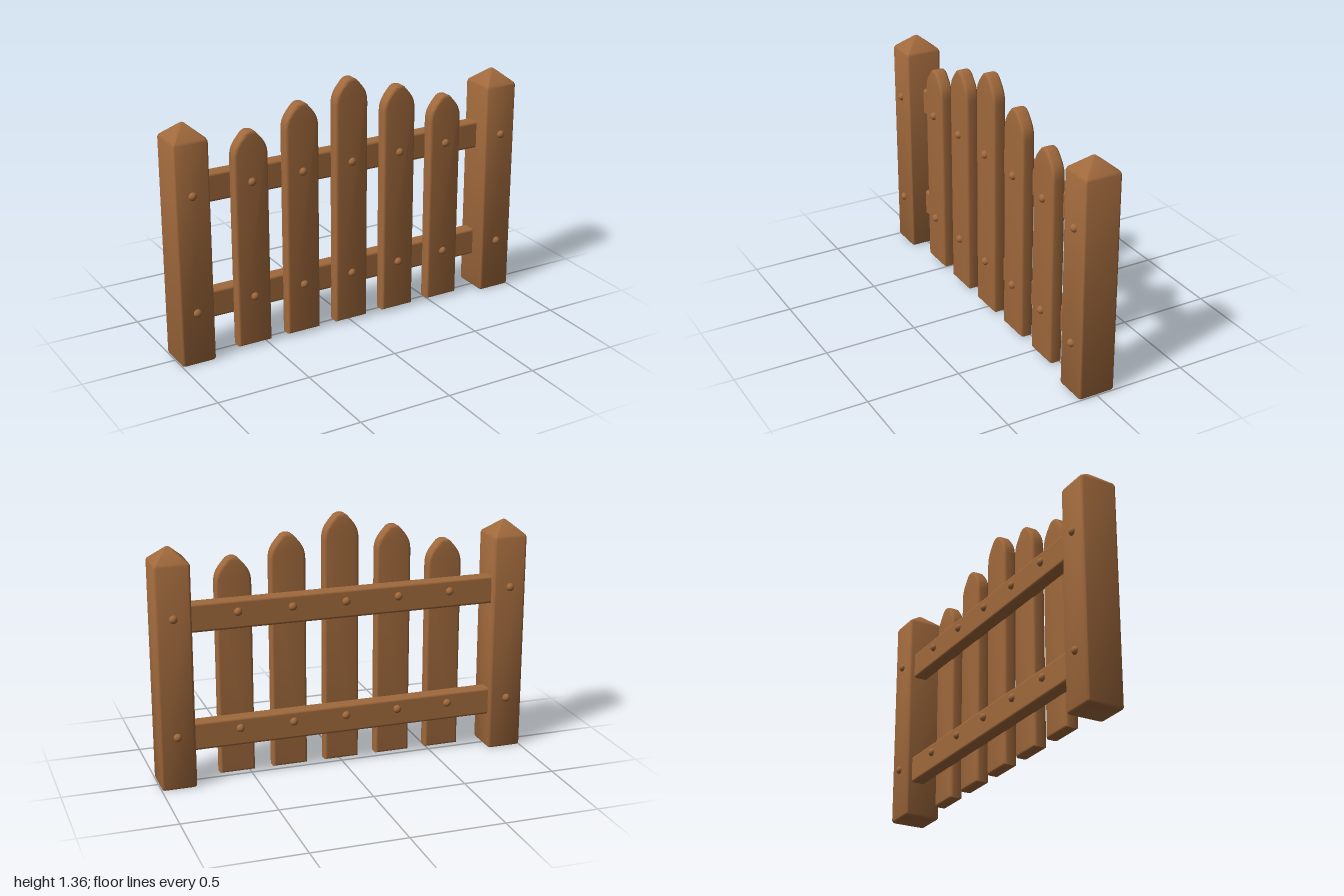
import * as THREE from 'three';
import { toCreasedNormals } from 'three/addons/utils/BufferGeometryUtils.js';
import { RoundedBoxGeometry } from 'three/addons/geometries/RoundedBoxGeometry.js';
import { ConvexGeometry } from 'three/addons/geometries/ConvexGeometry.js';

const RAIL_HEIGHTS = [0.265, 0.895];
const NAIL_HEIGHTS = [0.285, 0.91];

// Square post with softened edges and a pyramid cap
function postGeometry() {
  const points = [];
  const ring = (y, w, d, r) => {
    for (const sx of [-1, 1]) for (const sz of [-1, 1]) for (let i = 0; i <= 3; i++) {
      const a = (i / 3) * Math.PI / 2;
      points.push(new THREE.Vector3(sx * (w - r + r * Math.cos(a)), y, sz * (d - r + r * Math.sin(a))));
    }
  };
  ring(0, 0.083, 0.09, 0.01);
  ring(0.004, 0.089, 0.096, 0.012);
  ring(0.012, 0.0925, 0.1, 0.014);
  ring(1.175, 0.0925, 0.1, 0.014);
  ring(1.188, 0.087, 0.094, 0.012);
  ring(1.256, 0.01, 0.01, 0.005);
  points.push(new THREE.Vector3(0, 1.26, 0));
  return toCreasedNormals(new ConvexGeometry(points), 0.6);
}

// Picket board with a pointed, curved top and rounded edges
function picketGeometry(top) {
  const b = 0.014, w = 0.094 - b, foot = 0.015 + b, tip = top - b;
  const s = new THREE.Shape();
  s.moveTo(-w, foot);
  s.lineTo(w, foot);
  s.lineTo(w, top - 0.14);
  s.bezierCurveTo(w, top - 0.085, w - 0.02, top - 0.065, 0.022, tip - 0.008);
  s.quadraticCurveTo(0, tip + 0.008, -0.022, tip - 0.008);
  s.bezierCurveTo(-w + 0.02, top - 0.065, -w, top - 0.085, -w, top - 0.14);
  s.closePath();
  const g = new THREE.ExtrudeGeometry(s, {
    depth: 0.07 - 2 * b, bevelEnabled: true, bevelSize: b, bevelThickness: b,
    bevelSegments: 3, curveSegments: 8
  });
  g.translate(0, 0, b - 0.002);
  return toCreasedNormals(g, 0.65);
}

export function createModel() {
  const fence = new THREE.Group();
  fence.name = 'picketFence';
  const wood = new THREE.MeshStandardMaterial({ color: 0xa0693c });
  wood.name = 'brown wood';

  const add = (geometry, name, x = 0, y = 0, z = 0) => {
    const mesh = new THREE.Mesh(geometry, wood);
    mesh.name = name;
    mesh.position.set(x, y, z);
    fence.add(mesh);
    return mesh;
  };

  // Domed pegs on the front and back of each upright
  const pegGeometry = new THREE.SphereGeometry(0.022, 14, 10);
  const addPegs = (x, front, back) => {
    for (const y of NAIL_HEIGHTS) {
      add(pegGeometry, 'frontPeg', x, y, front);
      add(pegGeometry, 'backPeg', x, y, back);
    }
  };

  // End posts
  const post = postGeometry();
  for (const side of [-1, 1]) {
    add(post, side > 0 ? 'leftPost' : 'rightPost', side * 0.9075);
    addPegs(side * 0.91, 0.098, -0.098);
  }

  // Pickets, tallest in the middle
  for (let i = -2; i <= 2; i++) {
    const x = i * 0.287;
    add(picketGeometry([1.355, 1.272, 1.175][Math.abs(i)]), 'picket', x);
    addPegs(x, 0.066, -0.07);
  }

  // Cross rails behind the pickets
  const rail = new RoundedBoxGeometry(1.68, 0.15, 0.08, 3, 0.014);
  for (const y of RAIL_HEIGHTS) add(rail, 'rail', 0, y, -0.031);

  return fence;
}
